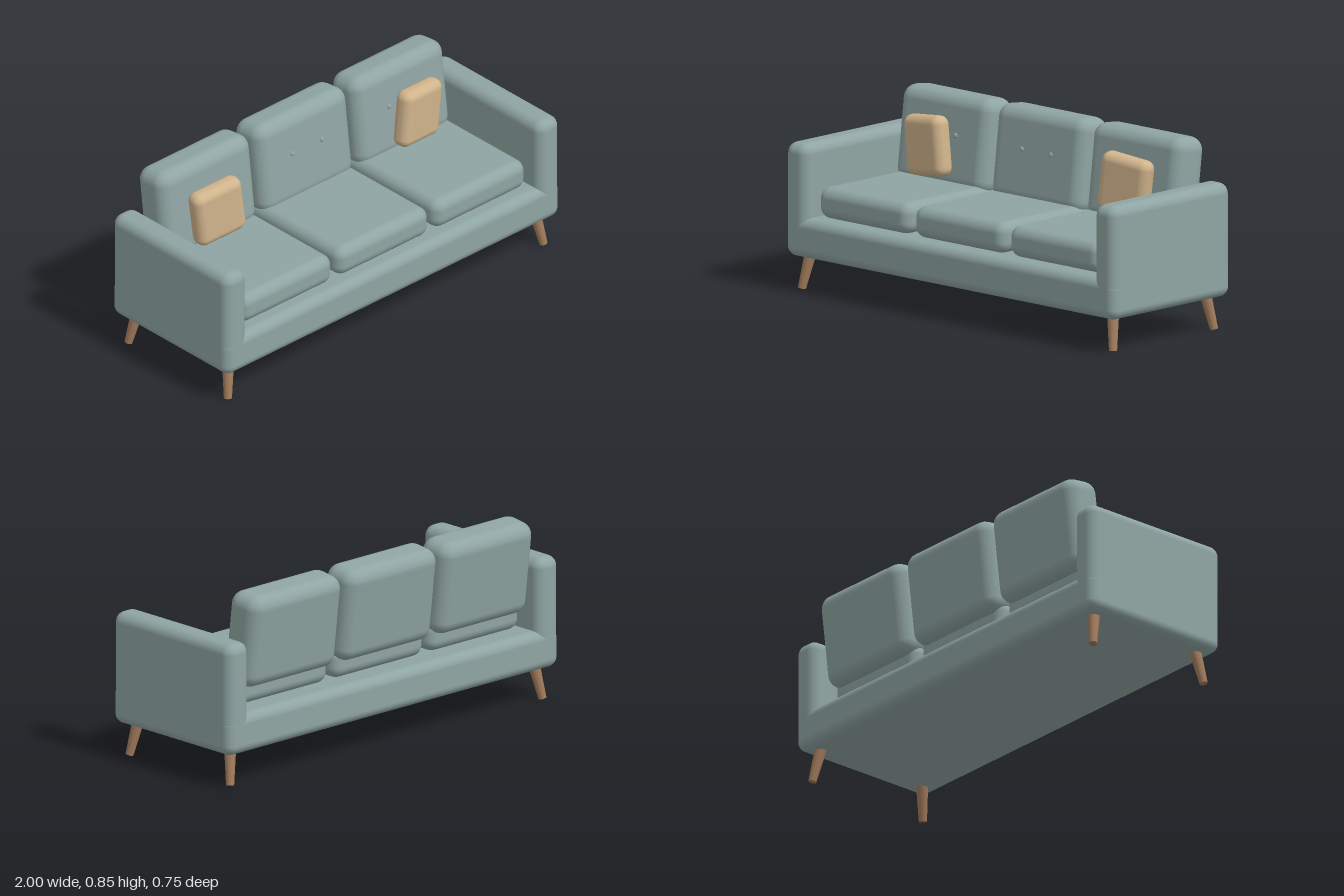
import * as THREE from 'three';
import { RoundedBoxGeometry } from 'three/addons/geometries/RoundedBoxGeometry.js';

const material = (name, color) => {
  const m = new THREE.MeshStandardMaterial({ color });
  m.name = name;
  return m;
};

export function createModel() {
  const sofa = new THREE.Group();
  sofa.name = 'sofa';
  const fabric = material('greyGreenFabric', 0x8fa5a3);
  const tan = material('tanFabric', 0xd0b48c);
  const wood = material('wood', 0xa27c5c);

  const add = (parent, name, geometry, mat, x, y, z) => {
    const mesh = new THREE.Mesh(geometry, mat);
    mesh.name = name;
    mesh.position.set(x, y, z);
    parent.add(mesh);
    return mesh;
  };
  const soft = (w, h, d, r) => new RoundedBoxGeometry(w, h, d, 4, r);

  // Base frame
  add(sofa, 'base', soft(2, 0.18, 0.75, 0.045), fabric, 0, 0.24, 0);

  // Arms, sunk into the base
  for (const side of [-1, 1]) {
    const arm = soft(0.13, 0.415, 0.75, 0.048);
    add(sofa, side > 0 ? 'leftArm' : 'rightArm', arm, fabric, side * 0.935, 0.4525, 0);
  }

  // Seat cushions and leaning, buttoned back cushions
  for (const x of [-0.58, -0.0025, 0.575]) {
    add(sofa, 'seatCushion', soft(0.55, 0.14, 0.6, 0.05), fabric, x, 0.4, 0.02);

    const back = new THREE.Group();
    back.name = 'backCushion';
    back.position.set(x, 0.634, -0.268);
    back.rotation.x = -0.122;
    sofa.add(back);
    add(back, 'backPad', soft(0.55, 0.43, 0.182, 0.062), fabric, 0, 0, 0);
    for (const bx of [-0.0875, 0.0875]) {
      const button = add(back, 'button', new THREE.SphereGeometry(0.012, 16, 10), fabric, bx, 0.03, 0.091);
      button.scale.z = 0.6;
    }
  }

  // Throw pillows, mirrored in their tilt
  for (const side of [-1, 1]) {
    const pillow = add(sofa, 'throwPillow', soft(0.255, 0.27, 0.09, 0.04), tan, side * 0.6, 0.626, -0.12);
    pillow.rotation.set(0, side * 0.15, -side * 0.122);
  }

  // Splayed tapered legs
  const up = new THREE.Vector3(0, 1, 0);
  for (const sx of [-1, 1]) {
    for (const sz of [-1, 1]) {
      const foot = new THREE.Vector3(sx * 0.943, 0.004, sz * 0.319);
      const top = new THREE.Vector3(sx * 0.915, 0.17, sz * 0.29);
      const axis = top.clone().sub(foot);
      const mid = top.clone().add(foot).multiplyScalar(0.5);
      const geometry = new THREE.CylinderGeometry(0.027, 0.018, axis.length(), 20);
      const leg = add(sofa, sz > 0 ? 'frontLeg' : 'backLeg', geometry, wood, mid.x, mid.y, mid.z);
      leg.quaternion.setFromUnitVectors(up, axis.normalize());
    }
  }

  return sofa;
}
